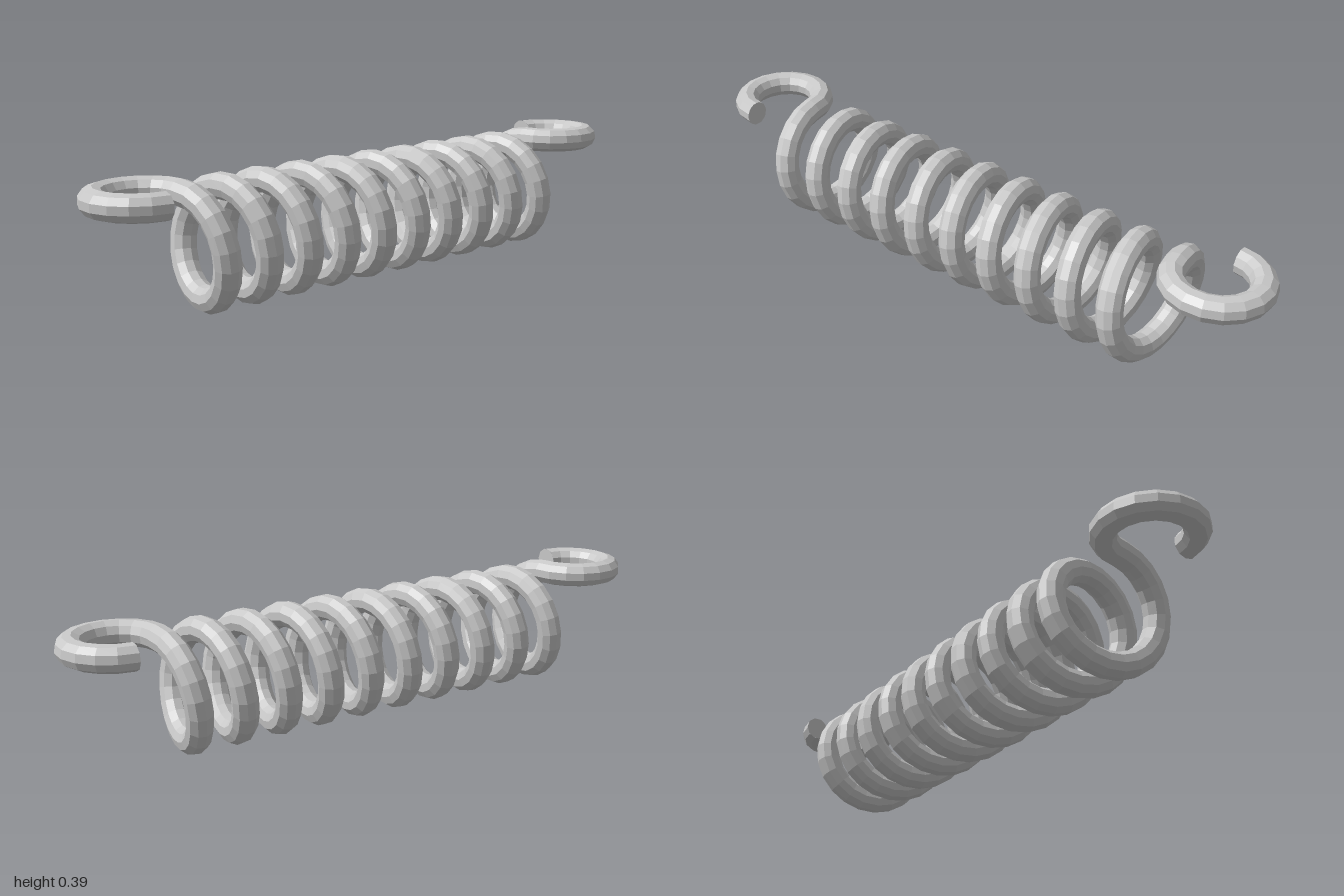
import * as THREE from 'three';

const COIL_R = 0.157, WIRE_R = 0.0395, MID_Y = 0.197;
const TURNS = 10, HALF = 0.709, HOOK_R = 0.126, SIDES = 10;
const HOOK_STEPS = 13, COIL_STEPS = 214;
const STEPS = COIL_STEPS + 2 * HOOK_STEPS;

// Wire centre line: left hook, helix, right hook
class SpringPath extends THREE.Curve {
  getPoint(t, target = new THREE.Vector3()) {
    const s = t * STEPS - HOOK_STEPS - COIL_STEPS / 2; // steps from the middle
    const side = s < 0 ? -1 : 1;
    const over = Math.abs(s) - COIL_STEPS / 2;
    if (over > 0) {
      // three-quarter loop lying flat on top level
      const a = (over / HOOK_STEPS) * Math.PI * 1.5;
      return target.set(
        side * (HALF + HOOK_R - HOOK_R * Math.cos(a)),
        MID_Y + COIL_R,
        side * HOOK_R * Math.sin(a)
      );
    }
    const a = (s / COIL_STEPS) * TURNS * Math.PI * 2;
    return target.set(
      (s / COIL_STEPS) * 2 * HALF,
      MID_Y + COIL_R * Math.cos(a),
      COIL_R * Math.sin(a)
    );
  }

  // keep the even steps per section
  getUtoTmapping(u) {
    return u;
  }
}

export function createModel() {
  const group = new THREE.Group();
  group.name = 'tensionSpring';
  const steel = new THREE.MeshStandardMaterial({ color: 0xc8c8c8, flatShading: true });
  steel.name = 'steelGrey';

  // Coiled wire with a hook at each end
  const path = new SpringPath();
  const wire = new THREE.Mesh(new THREE.TubeGeometry(path, STEPS, WIRE_R, SIDES, false), steel);
  wire.name = 'springWire';
  group.add(wire);

  // Flat cut ends of the hooks
  for (const [name, t, dir] of [['rightWireEnd', 0, -1], ['leftWireEnd', 1, 1]]) {
    const cap = new THREE.Mesh(new THREE.CircleGeometry(WIRE_R, SIDES), steel);
    cap.name = name;
    cap.position.copy(path.getPoint(t));
    const out = path.getTangent(t).multiplyScalar(dir);
    cap.quaternion.setFromUnitVectors(new THREE.Vector3(0, 0, 1), out);
    group.add(cap);
  }
  return group;
}
